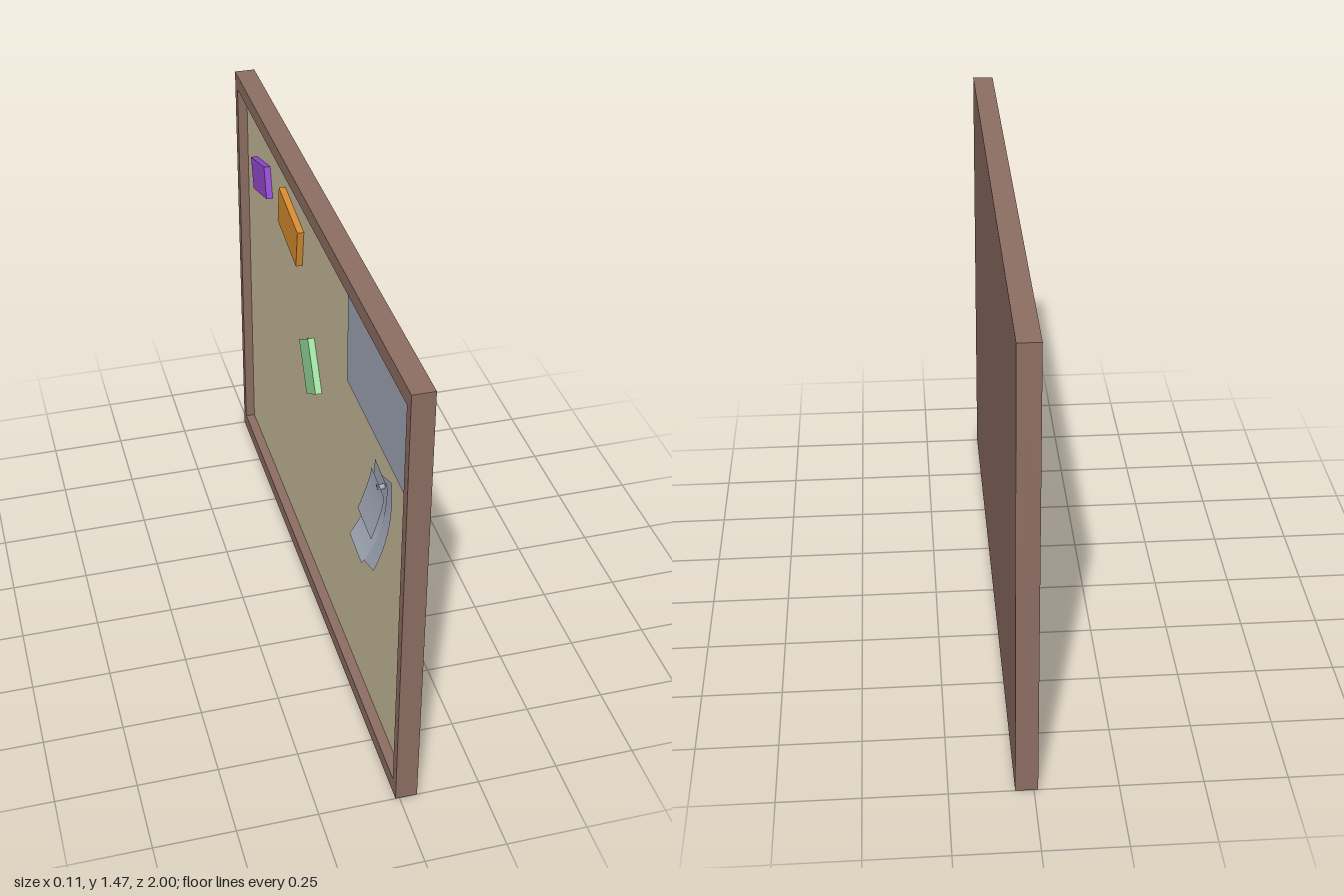
import * as THREE from 'three';

const mat = (name, color, side = THREE.FrontSide) => {
  const m = new THREE.MeshStandardMaterial({ color, side });
  m.name = name;
  return m;
};

export function createModel() {
  const group = new THREE.Group();
  const wood = mat('frame brown', 0x8d6e63);
  const cork = mat('cork beige', 0xc7bb9a);
  const paper = mat('paper grey', 0xa0a8b6, THREE.DoubleSide);
  const orange = mat('note orange', 0xd68d30);
  const purple = mat('note purple', 0x964ad4);
  const green = mat('note green', 0x98dc9c);

  const box = (name, material, size, pos, tilt = 0) => {
    const mesh = new THREE.Mesh(new THREE.BoxGeometry(...size), material);
    mesh.name = name;
    mesh.position.set(...pos);
    mesh.rotation.x = tilt;
    group.add(mesh);
    return mesh;
  };

  // Frame and recessed board; the pinning face looks towards -x
  const front = -0.012, back = 0.055, face = 0.02, H = 1.47;
  const sideW = 0.033, railH = 0.052;
  const depth = face + 0.005 - front, midX = front + depth / 2;
  box('backPanel', wood, [back - face - 0.005, H, 2], [(back + face + 0.005) / 2, H / 2, 0]);
  box('corkBoard', cork, [0.005, H - 2 * railH, 2 - 2 * sideW], [face + 0.0025, H / 2, 0]);
  for (const s of [-1, 1]) {
    box(s > 0 ? 'topRail' : 'bottomRail', wood, [depth, railH, 2],
      [midX, H / 2 + s * (H - railH) / 2, 0]);
    box('sideRail', wood, [depth, H - 2 * railH, sideW], [midX, H / 2, s * (1 - sideW / 2)]);
  }

  // Thick sticky notes, each turned on the board
  const note = (name, m, w, h, z, y, tilt) => box(name, m, [0.021, h, w], [0.0095, y, z], tilt);
  note('orangeNote', orange, 0.24, 0.133, -0.324, 1.232, 0.16);
  note('purpleNote', purple, 0.2, 0.108, -0.718, 1.206, -0.29);
  note('greenNote', green, 0.178, 0.131, -0.077, 0.856, 1.0);

  // Large flat sheet
  box('largeSheet', paper, [0.003, 0.303, 0.595], [face - 0.0015, 1.2135, 0.617]);

  // Curled sheets: corners as [z, y], the lower edge bends away from the board
  const curledSheet = (name, [tl, tr, bl, br], xTop, xBottom, power) => {
    const geo = new THREE.PlaneGeometry(1, 1, 1, 10);
    const p = geo.attributes.position;
    for (let i = 0; i < p.count; i++) {
      const u = p.getX(i) + 0.5, v = 0.5 - p.getY(i);
      const at = (k) => THREE.MathUtils.lerp(
        THREE.MathUtils.lerp(tl[k], tr[k], u), THREE.MathUtils.lerp(bl[k], br[k], u), v);
      p.setXYZ(i, xTop + (xBottom - xTop) * Math.pow(v, power), at(1), at(0));
    }
    geo.computeVertexNormals();
    const mesh = new THREE.Mesh(geo, paper);
    mesh.name = name;
    group.add(mesh);
  };
  curledSheet('backCurledSheet', [[0.695, 0.99], [0.79, 1.03], [0.745, 0.735], [0.848, 0.775]], 0.012, -0.052, 2.4);
  curledSheet('middleCurledSheet', [[0.65, 1.015], [0.775, 1.0], [0.633, 0.745], [0.757, 0.73]], 0.006, -0.06, 2.6);
  curledSheet('frontCurledSheet', [[0.68, 1.01], [0.805, 0.995], [0.652, 0.85], [0.788, 0.84]], -0.013, -0.043, 1.5);

  // Pin through the curled sheets
  const pin = new THREE.Mesh(new THREE.CylinderGeometry(0.008, 0.008, 0.034, 8), paper);
  pin.name = 'pin';
  pin.rotation.z = Math.PI / 2;
  pin.position.set(0.001, 0.985, 0.742);
  group.add(pin);

  return group;
}
